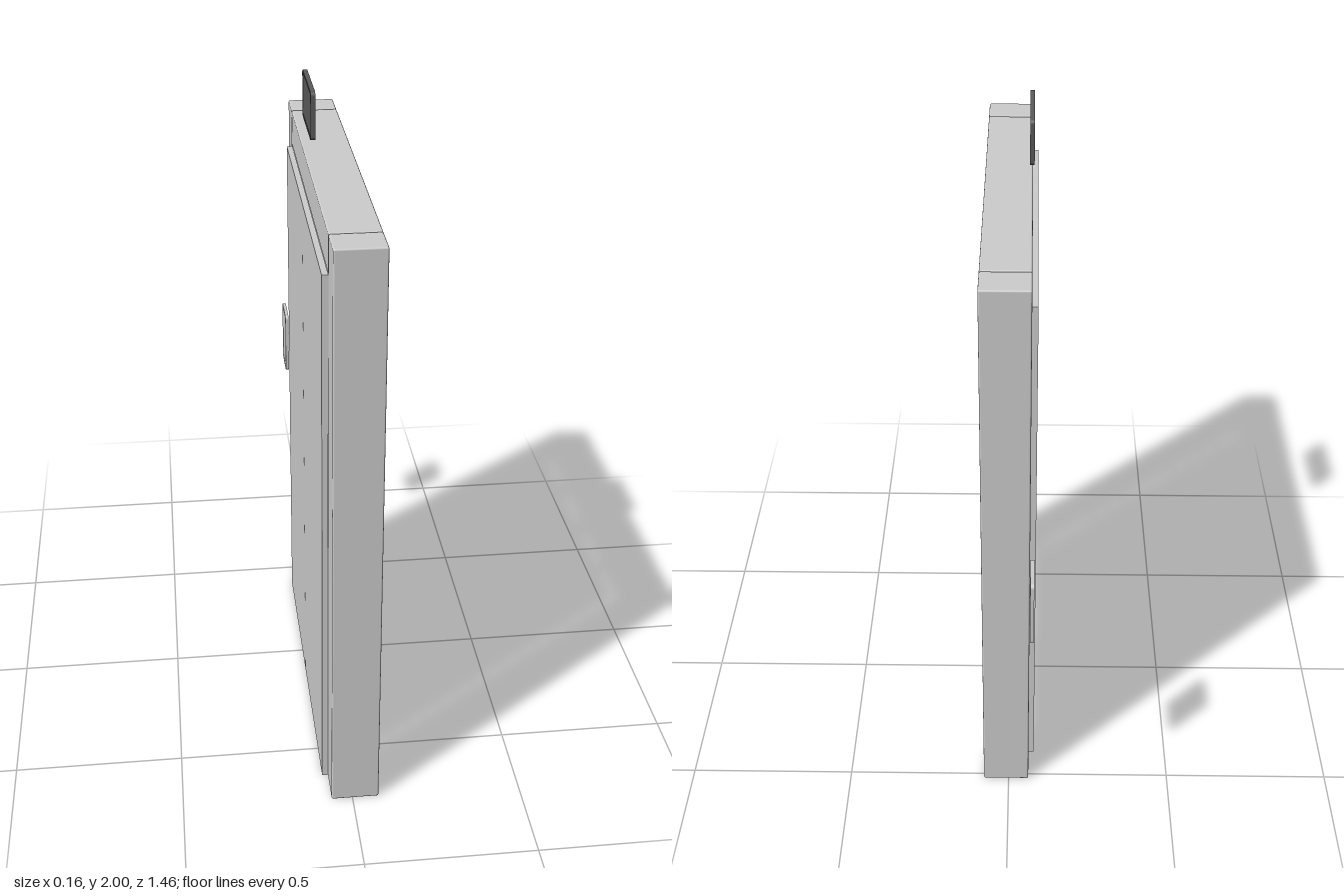
import * as THREE from 'three';
import { RoundedBoxGeometry } from 'three/addons/geometries/RoundedBoxGeometry.js';

const grey = new THREE.MeshStandardMaterial({ color: 0xcccccc });
const dark = new THREE.MeshStandardMaterial({ color: 0x5a5a5a });
const black = new THREE.MeshStandardMaterial({ color: 0x222222 });

// Box given by its limits on each axis; a radius softens the edges
function block(name, [x0, x1], [y0, y1], [z0, z1], radius = 0) {
  const size = [x1 - x0, y1 - y0, z1 - z0];
  const geometry = radius
    ? new RoundedBoxGeometry(...size, 2, radius)
    : new THREE.BoxGeometry(...size);
  const mesh = new THREE.Mesh(geometry, grey);
  mesh.name = name;
  mesh.position.set((x0 + x1) / 2, (y0 + y1) / 2, (z0 + z1) / 2);
  return mesh;
}

function roundedRect(w, h, r, Type = THREE.Shape) {
  const s = new Type();
  const x = w / 2 - r, y = h / 2 - r;
  s.absarc(x, y, r, 0, Math.PI / 2);
  s.absarc(-x, y, r, Math.PI / 2, Math.PI);
  s.absarc(-x, -y, r, Math.PI, Math.PI * 1.5);
  s.absarc(x, -y, r, Math.PI * 1.5, Math.PI * 2);
  s.closePath();
  return s;
}

// Triangle with its point up (dir 1) or down (dir -1)
function triangle(r, dir, Type = THREE.Shape) {
  const points = [0, 1, 2].map((i) => {
    const a = dir * Math.PI / 2 + i * Math.PI * 2 / 3;
    return new THREE.Vector2(r * Math.cos(a), r * Math.sin(a));
  });
  return new Type(points);
}

// Extrusion from depth z0 to z1
function slab(name, shape, z0, z1, material) {
  const geometry = new THREE.ExtrudeGeometry(shape, { depth: z1 - z0, bevelEnabled: false, curveSegments: 8 });
  const mesh = new THREE.Mesh(geometry, material);
  mesh.name = name;
  mesh.position.z = z0;
  return mesh;
}

// Triangular outline standing slightly proud of its plate
function arrow(r, dir, z0, z1, material) {
  const shape = triangle(r, dir);
  shape.holes.push(triangle(r * 0.66, dir, THREE.Path));
  return slab('arrow', shape, z0, z1, material);
}

// Wall plate with a raised rim, facing +x
function wallPlate(name, w, h, rim, depth, material) {
  const group = new THREE.Group();
  group.name = name;
  const shape = roundedRect(w, h, 0.012);
  shape.holes.push(roundedRect(w - 2 * rim, h - 2 * rim, 0.008, THREE.Path));
  group.add(slab('rim', shape, 0, depth, material));
  group.add(slab('plate', roundedRect(w - rim, h - rim, 0.01), 0.001, depth - 0.002, material));
  group.rotation.y = Math.PI / 2;
  return group;
}

export function createModel() {
  const model = new THREE.Group();
  model.name = 'elevatorEntrance';

  // Door surround
  const depth = [-0.062, 0.078];
  model.add(block('leftPost', depth, [0, 1.755], [0.624, 0.73], 0.005));
  model.add(block('rightPost', depth, [0, 1.755], [-0.52, -0.414], 0.005));
  model.add(block('header', depth, [1.643, 1.755], [-0.412, 0.622], 0.005));

  // Sliding doors with a fine seam
  const doorDepth = [-0.079, -0.0615];
  model.add(block('leftDoor', doorDepth, [0, 1.642], [0.111, 0.622]));
  model.add(block('rightDoor', doorDepth, [0, 1.642], [-0.402, 0.109]));

  // Floor indicator above the doors
  const sign = wallPlate('indicatorSign', 0.232, 0.135, 0.008, 0.013, dark);
  sign.position.set(-0.066, 1.9325, 0.112);
  const signArrow = arrow(0.041, -1, 0.009, 0.0125, black);
  signArrow.position.x = -0.05;
  signArrow.position.y = 0.017;
  sign.add(signArrow);
  model.add(sign);

  // Call panel with up and down buttons
  const panel = wallPlate('callPanel', 0.122, 0.208, 0.009, 0.011, grey);
  panel.position.set(-0.074, 0.857, -0.669);
  for (const dir of [1, -1]) {
    const button = new THREE.Group();
    button.name = dir > 0 ? 'upButton' : 'downButton';
    button.position.y = dir * 0.042;
    const collar = new THREE.Mesh(new THREE.TorusGeometry(0.033, 0.003, 6, 32), grey);
    collar.name = 'collar';
    collar.position.z = 0.0095;
    const cap = new THREE.Mesh(new THREE.CylinderGeometry(0.027, 0.029, 0.004, 32), grey);
    cap.name = 'cap';
    cap.rotation.x = Math.PI / 2;
    cap.position.z = 0.01;
    button.add(collar, cap, arrow(0.021, dir, 0.011, 0.013, grey));
    panel.add(button);
  }
  model.add(panel);
  return model;
}
